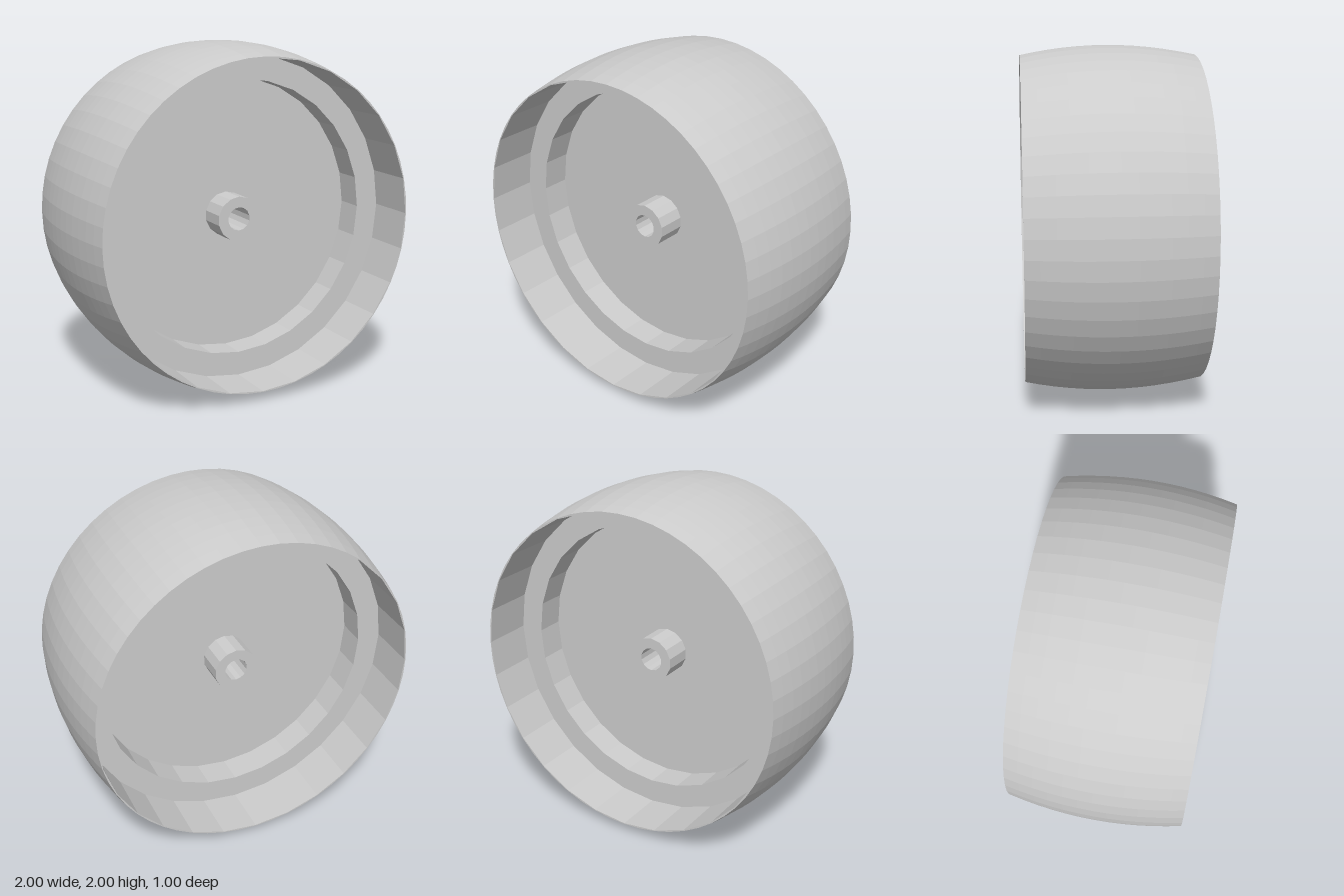
import * as THREE from 'three';

const material = new THREE.MeshStandardMaterial({ color: 0xcccccc, flatShading: true });
const HALF = 0.5, EDGE_R = 0.945, INNER_R = 0.94;
const OUTER_SIDES = 56, INNER_SIDES = 28, HUB_SIDES = 14;

// Revolves [radius, z] points about the wheel axis
function revolve(name, points, sides) {
  const geometry = new THREE.LatheGeometry(points.map(([r, z]) => new THREE.Vector2(r, z)), sides);
  geometry.rotateX(Math.PI / 2);
  const mesh = new THREE.Mesh(geometry, material);
  mesh.name = name;
  return mesh;
}

function polygon(radius, sides) {
  return Array.from({ length: sides }, (_, i) => {
    const a = (i / sides) * Math.PI * 2;
    return new THREE.Vector2(radius * Math.cos(a), radius * Math.sin(a));
  });
}

// Thin flat lip joining the tread to the inside of the rim
function rimLip(name, front) {
  const shape = new THREE.Shape(polygon(EDGE_R, OUTER_SIDES));
  shape.holes.push(new THREE.Path(polygon(INNER_R, INNER_SIDES)));
  const mesh = new THREE.Mesh(new THREE.ShapeGeometry(shape), material);
  mesh.name = name;
  mesh.position.z = front ? HALF : -HALF;
  if (!front) mesh.rotation.y = Math.PI;
  return mesh;
}

export function createModel() {
  const wheel = new THREE.Group();
  wheel.name = 'wheel';

  // Crowned outer tread
  const steps = 12;
  const crown = Array.from({ length: steps + 1 }, (_, i) => {
    const t = (i / steps) * 2 - 1;
    return [1 - (1 - EDGE_R) * t * t, t * HALF];
  });
  wheel.add(revolve('tread', crown, OUTER_SIDES));
  wheel.add(rimLip('frontLip', true), rimLip('backLip', false));

  // Stepped recess and central disc on each side
  const recess = [[INNER_R, HALF], [INNER_R, 0.2], [0.8, 0.2], [0.8, 0.03], [0.1, 0.03]];
  const mirrored = recess.map(([r, z]) => [r, -z]).reverse();
  wheel.add(revolve('frontRecess', recess, INNER_SIDES));
  wheel.add(revolve('backRecess', mirrored, INNER_SIDES));

  // Hub tube with the axle hole through it
  const hub = [[0.13, -0.2], [0.13, 0.2], [0.068, 0.2], [0.068, -0.2], [0.13, -0.2]];
  wheel.add(revolve('hub', hub, HUB_SIDES));

  wheel.position.y = 1;
  const model = new THREE.Group();
  model.add(wheel);
  return model;
}
